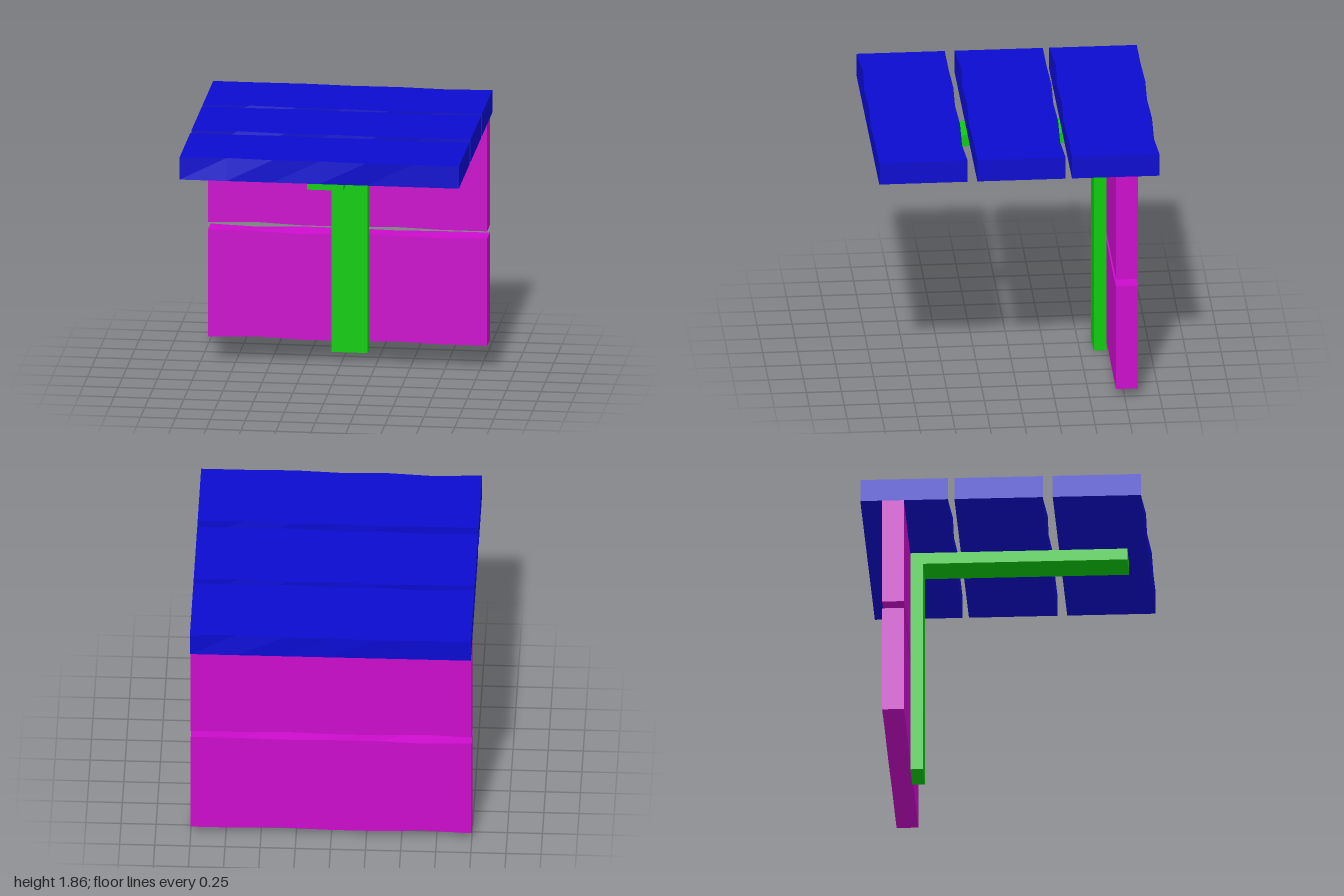
import * as THREE from 'three';

const material = (color) => new THREE.MeshStandardMaterial({ color, flatShading: true });
const SEGMENTS = 6;

// Shifts of the long edges at the seven stations from x = -1 to x = 1
const deckWave = {
  frontUpper: [0, -0.022, 0, -0.01, 0.007, 0, 0],
  backUpper: [0, 0, -0.007, 0.008, 0, 0.02, 0],
};
const wallWave = {
  topFront: [0, 0, -0.012, 0, 0, -0.009, 0],
  topBack: [0, -0.012, 0, 0, -0.006, 0, 0],
  bottom: [0, 0.014, 0, 0, 0.01, 0, 0],
};

// Box split along x, with its vertices moved by a rule
function board(name, mat, height, depth, move) {
  const geometry = new THREE.BoxGeometry(2, height, depth, SEGMENTS, 1, 1);
  const p = geometry.attributes.position;
  for (let i = 0; i < p.count; i++) {
    const station = Math.round(((p.getX(i) + 1) / 2) * SEGMENTS);
    const [dy, dz] = move(station, p.getY(i) > 0, p.getZ(i) > 0);
    p.setY(i, p.getY(i) + dy);
    p.setZ(i, p.getZ(i) + dz);
  }
  const flat = geometry.toNonIndexed();
  flat.computeVertexNormals();
  const mesh = new THREE.Mesh(flat, mat);
  mesh.name = name;
  return mesh;
}

export function createModel() {
  const model = new THREE.Group();
  model.name = 'plankShelter';
  const blue = material(0x0b0bd0);
  const magenta = material(0xcc0ccc);
  const green = material(0x0ccc0c);

  // Three roof planks with worn upper edges
  [[-1, -0.375], [-0.33, 0.3], [0.37, 1]].forEach(([z0, z1], i) => {
    const plank = board(`roofPlank${i + 1}`, blue, 0.165, z1 - z0, (s, upper, front) =>
      [0, upper ? (front ? deckWave.frontUpper : deckWave.backUpper)[s] : 0]);
    plank.position.set(0, 1.7775, (z0 + z1) / 2);
    model.add(plank);
  });

  // Two upright planks forming the back wall
  [[0.057, 0.85], [0.903, 1.695]].forEach(([y0, y1], i) => {
    const plank = board(`backPlank${i + 1}`, magenta, y1 - y0, 0.155, (s, upper, front) =>
      [(upper ? (front ? wallWave.topFront : wallWave.topBack) : wallWave.bottom)[s], 0]);
    plank.position.set(0, (y0 + y1) / 2, -0.7675);
    model.add(plank);
  });

  // Post behind and arm under the roof
  const bracket = new THREE.Group();
  bracket.name = 'bracket';
  const addBeam = (name, y0, y1, z0, z1) => {
    const beam = new THREE.Mesh(new THREE.BoxGeometry(0.26, y1 - y0, z1 - z0), green);
    beam.name = name;
    beam.position.set(0.025, (y0 + y1) / 2, (z0 + z1) / 2);
    bracket.add(beam);
  };
  addBeam('post', 0, 1.695, -0.69, -0.6);
  addBeam('roofArm', 1.61, 1.695, -0.6, 0.855);
  model.add(bracket);

  return model;
}
